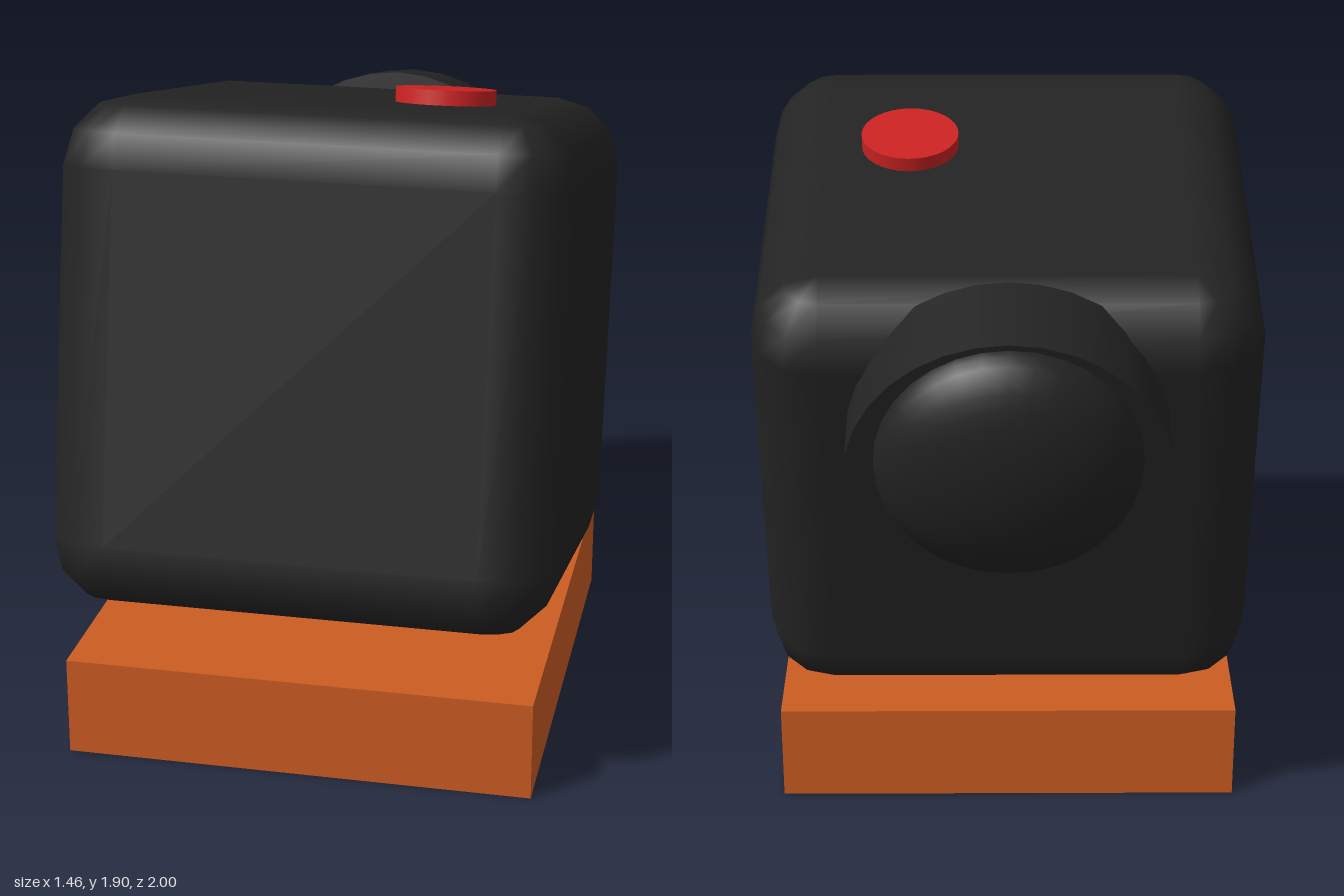
import * as THREE from 'three';

const black = new THREE.MeshStandardMaterial({ color: 0x232323 });
black.name = 'black casing';
const red = new THREE.MeshStandardMaterial({ color: 0xcc2222 });
red.name = 'red button';
const orange = new THREE.MeshStandardMaterial({ color: 0xcc5c22 });
orange.name = 'orange base';

// Cube with rounded edges, three segments per quarter turn, built from stacked rings
function roundedCube(size, radius, segs) {
  const inner = size / 2 - radius;
  const pos = [], norm = [], index = [];
  const ring = 4 * (segs + 1);
  const rows = 2 * (segs + 1);
  for (let r = 0; r < rows; r++) {
    const upper = r > segs;
    const lat = (r - (upper ? 1 : 0) - segs) / segs * Math.PI / 2;
    for (let c = 0; c < 4; c++) {
      const sx = c === 0 || c === 3 ? 1 : -1;
      const sz = c < 2 ? 1 : -1;
      for (let k = 0; k <= segs; k++) {
        const a = (c + k / segs) * Math.PI / 2;
        const n = [Math.cos(lat) * Math.cos(a), Math.sin(lat), Math.cos(lat) * Math.sin(a)];
        norm.push(...n);
        pos.push(sx * inner + n[0] * radius, (upper ? 1 : -1) * inner + n[1] * radius, sz * inner + n[2] * radius);
      }
    }
  }
  for (let r = 0; r < rows - 1; r++) {
    for (let i = 0; i < ring; i++) {
      const a = r * ring + i, b = r * ring + (i + 1) % ring;
      index.push(a, a + ring, b, b, a + ring, b + ring);
    }
  }
  // Flat bottom and top
  const q = segs + 1, t = (rows - 1) * ring;
  index.push(0, q, 2 * q, 0, 2 * q, 3 * q);
  index.push(t, t + 2 * q, t + q, t, t + 3 * q, t + 2 * q);
  const g = new THREE.BufferGeometry();
  g.setAttribute('position', new THREE.Float32BufferAttribute(pos, 3));
  g.setAttribute('normal', new THREE.Float32BufferAttribute(norm, 3));
  g.setIndex(index);
  return g;
}

function part(name, geometry, material, x, y, z) {
  const mesh = new THREE.Mesh(geometry, material);
  mesh.name = name;
  mesh.position.set(x, y, z);
  return mesh;
}

export function createModel() {
  const model = new THREE.Group();
  model.name = 'cameraOnBase';

  // Flat plinth
  model.add(part('base', new THREE.BoxGeometry(1.366, 0.295, 1.465), orange, 0, 0.1475, 0.172));

  // Tilted casing and everything fixed to it
  const camera = new THREE.Group();
  camera.name = 'tiltedCamera';
  camera.position.set(0, 1.077, 0.174);
  camera.rotation.x = -0.21;
  camera.add(part('body', roundedCube(1.46, 0.2, 3), black, 0, 0, 0));

  // Lens barrel and domed glass on the back
  const barrel = new THREE.CylinderGeometry(0.46, 0.46, 0.295, 32).rotateX(Math.PI / 2);
  camera.add(part('lensBarrel', barrel, black, 0, 0.319, -0.783));
  const dome = new THREE.SphereGeometry(1, 32, 20).rotateX(Math.PI / 2).scale(0.375, 0.38, 0.18);
  camera.add(part('lensDome', dome, black, 0, 0.383, -0.924));

  // Push button on top
  camera.add(part('button', new THREE.CylinderGeometry(0.145, 0.145, 0.08, 32), red, 0.29, 0.733, 0.16));

  model.add(camera);
  return model;
}
